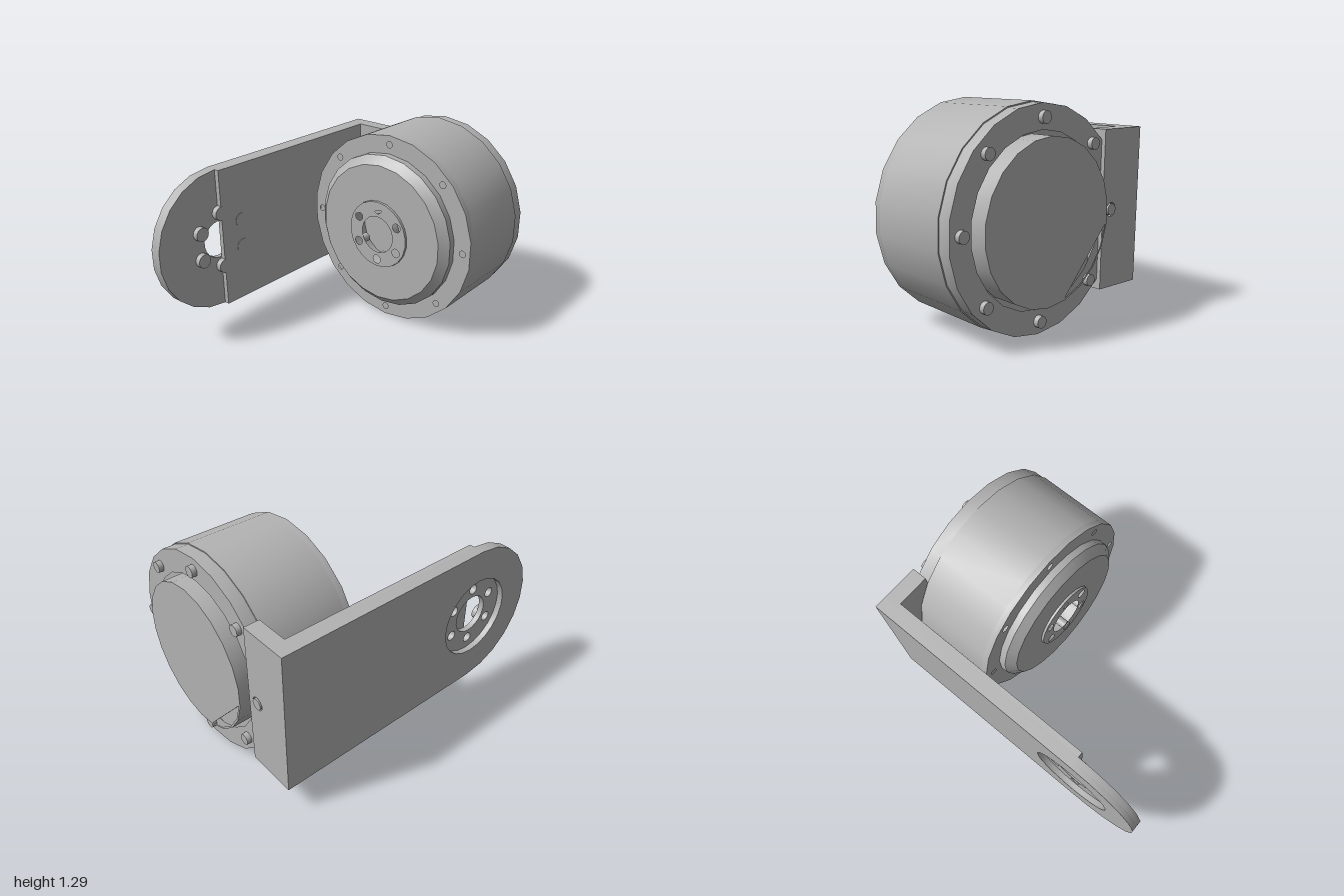
import * as THREE from 'three';
import { toCreasedNormals } from 'three/addons/utils/BufferGeometryUtils.js';

const SIDES = 22;
const metal = new THREE.MeshStandardMaterial({ color: 0xb3b3b3 });
metal.name = 'grey metal';

// Points of a regular polygon with a corner at the top
function polygon(r, cx = 0, cy = 0, n = SIDES) {
  return Array.from({ length: n }, (_, i) => {
    const a = Math.PI / 2 - (i * 2 * Math.PI) / n;
    return new THREE.Vector2(cx + r * Math.cos(a), cy + r * Math.sin(a));
  });
}

// Small round outlines spread evenly on a bolt circle
function boltCircle(count, circleR, r, cx = 0, cy = 0) {
  return polygon(circleR, cx, cy, count).map((p) => polygon(r, p.x, p.y, 16));
}

// Flat plate between z0 and z1 with optional holes
function plate(parent, name, outline, z0, z1, holes = []) {
  const shape = new THREE.Shape(outline);
  shape.holes = holes.map((h) => new THREE.Path(h));
  const geo = new THREE.ExtrudeGeometry(shape, { depth: z1 - z0, bevelEnabled: false });
  geo.translate(0, 0, z0);
  const mesh = new THREE.Mesh(toCreasedNormals(geo, 0.5), metal);
  mesh.name = name;
  parent.add(mesh);
  return mesh;
}

function rectangle(x0, x1, y0, y1) {
  return [[x0, y0], [x1, y0], [x1, y1], [x0, y1]].map((p) => new THREE.Vector2(...p));
}

// Motor, built along z and then turned so its axis runs along x
function makeMotor() {
  const motor = new THREE.Group();
  motor.name = 'motor';

  // Main drum, with small bores in its inner end
  plate(motor, 'drumEnd', polygon(0.645), 0.29, 0.33,
    [polygon(0.45), ...boltCircle(8, 0.585, 0.022)]);
  plate(motor, 'drum', polygon(0.645), 0.33, 0.845);

  // Chamfered hub around the output disc
  const profile = [[0.23, 0.33], [0.23, 0.195], [0.47, 0.195], [0.525, 0.245], [0.525, 0.33]]
    .map((p) => new THREE.Vector2(...p));
  const hubGeo = new THREE.LatheGeometry(profile.reverse(), SIDES);
  hubGeo.rotateX(Math.PI / 2);
  // Orient the surface outwards after the turn
  const pos = hubGeo.attributes.position;
  const idx = hubGeo.index.array;
  const [a, b, c] = [0, 1, 2].map((k) => new THREE.Vector3().fromBufferAttribute(pos, idx[k]));
  const facing = b.clone().sub(a).cross(c.clone().sub(a));
  if (facing.x * a.x + facing.y * a.y < 0) {
    for (let i = 0; i < idx.length; i += 3) [idx[i], idx[i + 1]] = [idx[i + 1], idx[i]];
  }
  const hub = new THREE.Mesh(toCreasedNormals(hubGeo, 0.5), metal);
  hub.name = 'chamferedHub';
  motor.add(hub);

  // Output disc with centre hole and six bores
  plate(motor, 'outputDisc', polygon(0.228), 0.18, 0.26,
    [polygon(0.125), ...boltCircle(6, 0.178, 0.03)]);

  // Flange with a groove around the end cap
  plate(motor, 'flange', polygon(0.638), 0.845, 0.925, [polygon(0.495)]);
  plate(motor, 'capWall', polygon(0.468), 0.84, 1.0, [polygon(0.455)]);
  const lid = polygon(0.455).filter((_, i) => i < 7 || i > 9);
  plate(motor, 'capLid', lid, 0.985, 1.0);

  for (const outline of boltCircle(8, 0.562, 0.035)) {
    plate(motor, 'flangeBolt', outline, 0.92, 0.956);
  }
  motor.rotation.y = Math.PI / 2;
  motor.position.set(0, 0.65, 0.083);
  return motor;
}

// L-shaped bracket with a rounded mounting end
function makeBracket() {
  const bracket = new THREE.Group();
  bracket.name = 'bracket';
  const cx = -0.53, cy = 0.65, r = 0.472;

  const outline = [new THREE.Vector2(0.95, cy - r), new THREE.Vector2(0.95, cy + r)];
  for (let i = 0; i <= SIDES / 2; i++) {
    const t = Math.PI / 2 + (i * 2 * Math.PI) / SIDES;
    outline.push(new THREE.Vector2(cx + r * Math.cos(t), cy + r * Math.sin(t)));
  }

  // Recessed outer layer, drilled middle layer, solid inner layer
  plate(bracket, 'armOuterLayer', outline, -0.723, -0.685, [polygon(0.265, cx, cy)]);
  plate(bracket, 'armDrilledLayer', outline, -0.685, -0.65,
    [polygon(0.127, cx, cy), ...boltCircle(6, 0.185, 0.032, cx, cy)]);
  plate(bracket, 'armInnerLayer', rectangle(cx, 0.95, cy - r, cy + r), -0.65, -0.617);

  // Mounting bolts on the inner side
  for (const bolt of boltCircle(6, 0.185, 0.047, cx, cy)) {
    plate(bracket, 'armBolt', bolt, -0.65, -0.614);
  }

  // Tab across the motor flange, with a clearance hole for one bolt
  const tab = plate(bracket, 'flangeTab', rectangle(0.405, 0.72, cy - r, cy + r), 0.85, 0.95,
    [polygon(0.042, 0.479, cy, 16)]);
  tab.rotation.y = Math.PI / 2;
  return bracket;
}

export function createModel() {
  const model = new THREE.Group();
  model.name = 'motorWithBracket';
  model.add(makeMotor(), makeBracket());
  return model;
}
